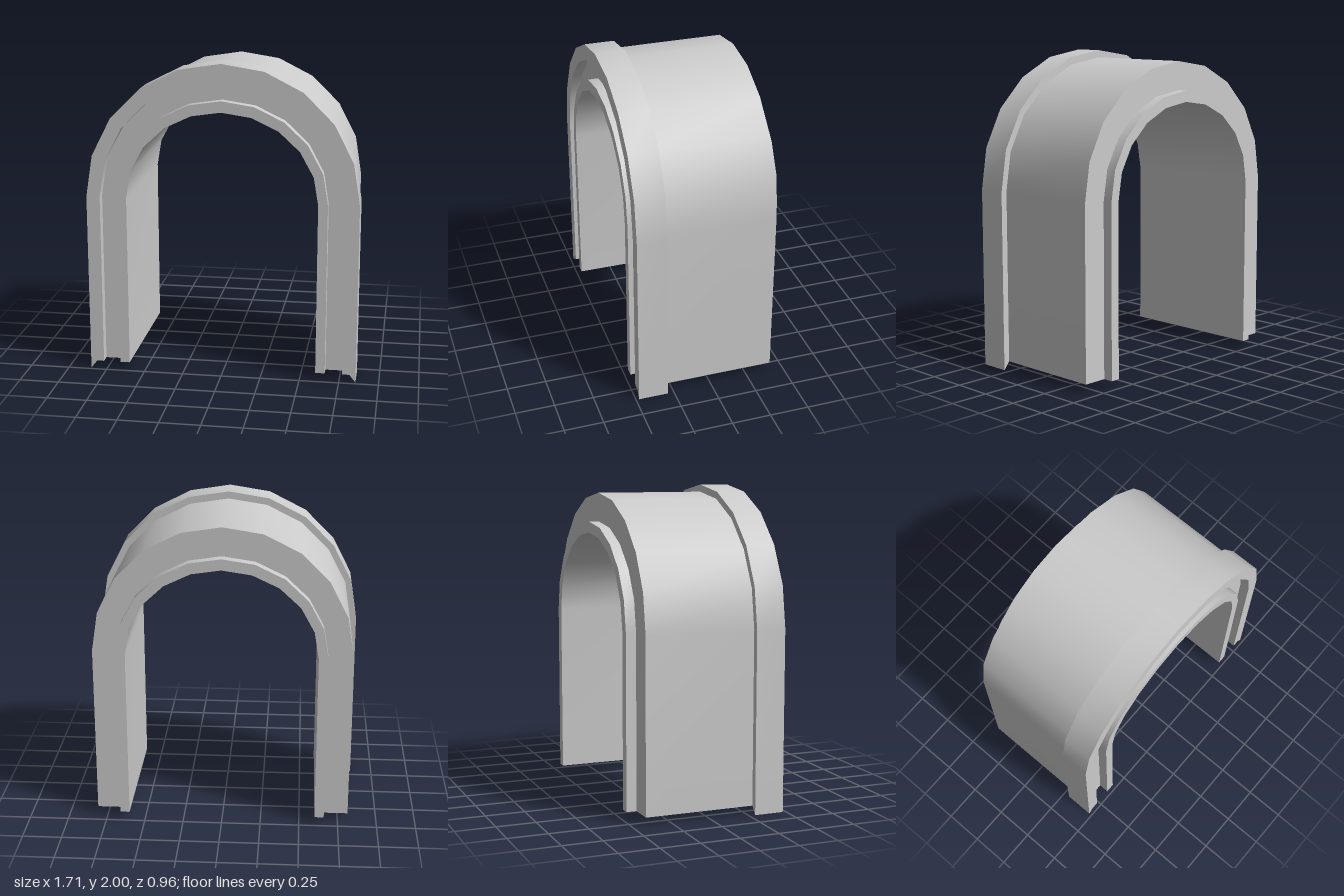
import * as THREE from 'three';

const SPRING = 1.145; // height where the legs turn into the arch
const STEPS = 10;     // facets around the arch

// Rise of the arch for a given half width: inner rings are slightly flatter
const rise = (r) => 0.855 - (0.855 - r) * 1.165;

// Sweep a closed counterclockwise profile of [halfWidth, z, footY] up one leg, over and down
function sweepArch(name, profile, material) {
  const rings = profile.map(([r, z, foot]) => {
    const path = [[r, foot, z]];
    for (let i = 0; i <= STEPS; i++) {
      const a = (i / STEPS) * Math.PI;
      path.push([r * Math.cos(a), SPRING + rise(r) * Math.sin(a), z]);
    }
    path.push([-r, foot, z]);
    return path;
  });
  const pos = [];
  const index = [];

  // One strip per profile edge: smooth along the arch, sharp across it
  rings.forEach((a, k) => {
    const b = rings[(k + 1) % rings.length];
    const base = pos.length / 3;
    a.forEach((p, i) => {
      pos.push(...p, ...b[i]);
      if (i === 0) return;
      const n = base + 2 * i;
      index.push(n - 2, n, n - 1, n - 1, n, n + 1);
    });
  });

  // Foot caps
  const contour = profile.map(([r, z]) => new THREE.Vector2(r, z));
  const faces = THREE.ShapeUtils.triangulateShape(contour, []);
  for (const end of [0, STEPS + 2]) {
    const base = pos.length / 3;
    rings.forEach((ring) => pos.push(...ring[end]));
    for (const [a, b, c] of faces) {
      if (end === 0) index.push(base + a, base + b, base + c);
      else index.push(base + a, base + c, base + b);
    }
  }

  const geometry = new THREE.BufferGeometry();
  geometry.setAttribute('position', new THREE.Float32BufferAttribute(pos, 3));
  geometry.setIndex(index);
  geometry.computeVertexNormals();
  const mesh = new THREE.Mesh(geometry, material);
  mesh.name = name;
  return mesh;
}

export function createModel() {
  const group = new THREE.Group();
  group.name = 'archSegment';
  const material = new THREE.MeshStandardMaterial({ color: 0xcccccc });

  // Main vault with a back tongue and a matching groove at the front
  const foot = 0.05;
  const vault = [
    [0.60, -0.48], [0.66, -0.48], [0.66, -0.415], [0.815, -0.415],
    [0.815, 0.48], [0.77, 0.48], [0.77, 0.415], [0.66, 0.415],
    [0.66, 0.48], [0.60, 0.48],
  ].map(([r, z]) => [r, z, foot]);
  group.add(sweepArch('vault', vault, material));

  // Raised front collar whose feet taper down to the ground
  const collar = [
    [0.815, 0.29, foot], [0.855, 0.29, 0], [0.855, 0.48, 0], [0.815, 0.48, foot],
  ];
  group.add(sweepArch('frontCollar', collar, material));

  return group;
}
